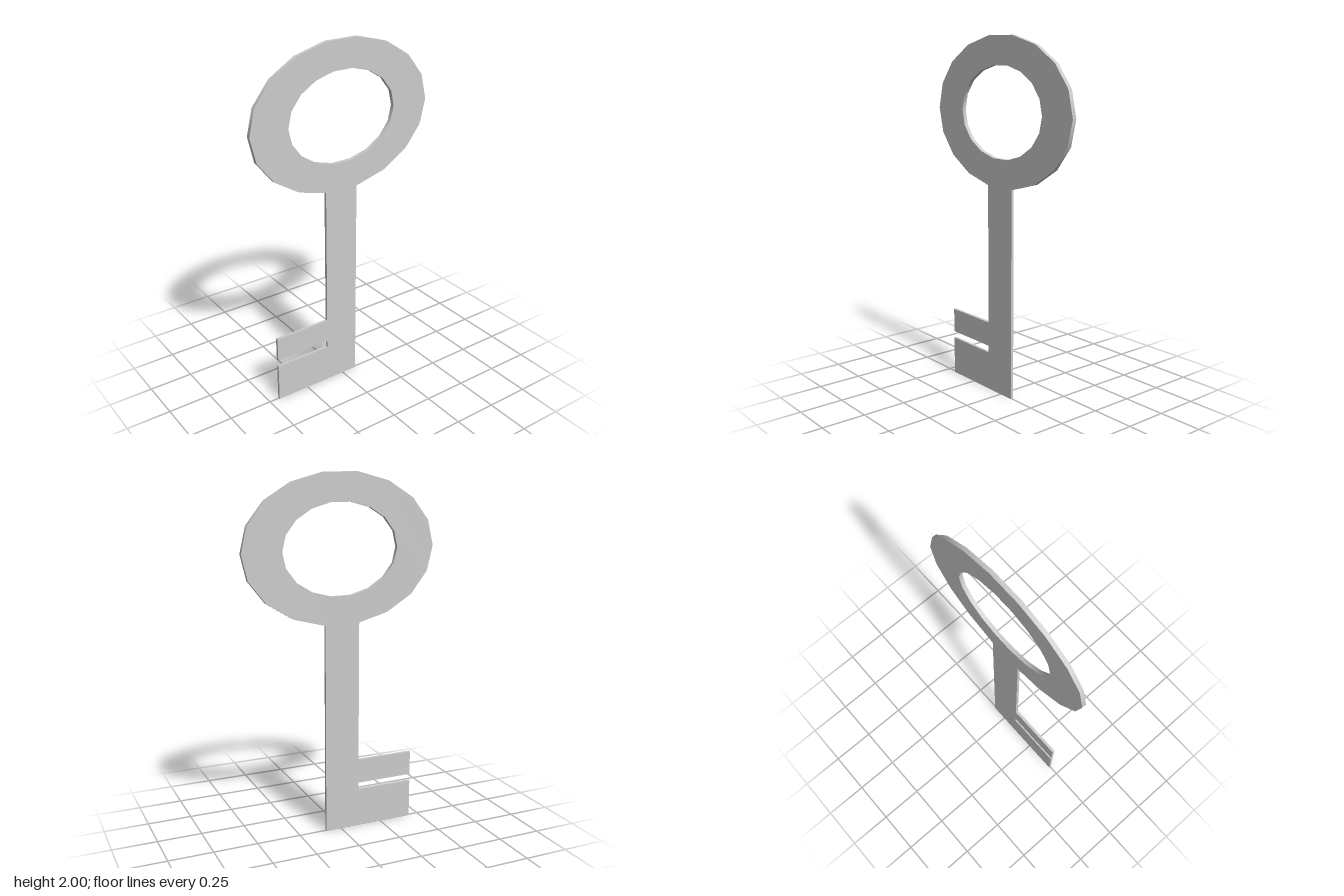
import * as THREE from 'three';
import { toCreasedNormals } from 'three/addons/utils/BufferGeometryUtils.js';

const SIDES = 18;
const BOW_Y = 1.596;

// Points of an 18-sided ellipse around the bow centre
function ellipse(a, b) {
  return Array.from({ length: SIDES }, (_, i) => {
    const t = (i / SIDES) * Math.PI * 2;
    return new THREE.Vector2(a * Math.cos(t), BOW_Y + b * Math.sin(t));
  });
}

// Extrude a (z, y) outline into a plate centred on x = 0
function plate(name, shape, thickness) {
  const flat = new THREE.ExtrudeGeometry(shape, { depth: thickness, bevelEnabled: false });
  flat.translate(0, 0, -thickness / 2);
  flat.rotateY(-Math.PI / 2);
  const mesh = new THREE.Mesh(
    toCreasedNormals(flat, THREE.MathUtils.degToRad(40)),
    new THREE.MeshStandardMaterial({ color: 0xcccccc })
  );
  mesh.name = name;
  return mesh;
}

export function createModel() {
  const group = new THREE.Group();
  group.name = 'key';

  // Oval bow with an oval hole
  const bow = new THREE.Shape(ellipse(0.555, 0.41));
  bow.holes.push(new THREE.Path(ellipse(0.333, 0.252)));
  group.add(plate('bow', bow, 0.023));

  // Shaft with two teeth separated by a slot
  const back = -0.092, front = 0.108, tip = 0.44, top = 1.194;
  const outline = [
    [back, 0], [tip, 0], [tip, 0.22], [front, 0.22], [front, 0.26],
    [tip, 0.26], [tip, 0.4], [front, 0.4], [front, top], [back, top],
  ].map(([z, y]) => new THREE.Vector2(z, y));
  group.add(plate('shaftAndTeeth', new THREE.Shape(outline), 0.016));

  return group;
}
